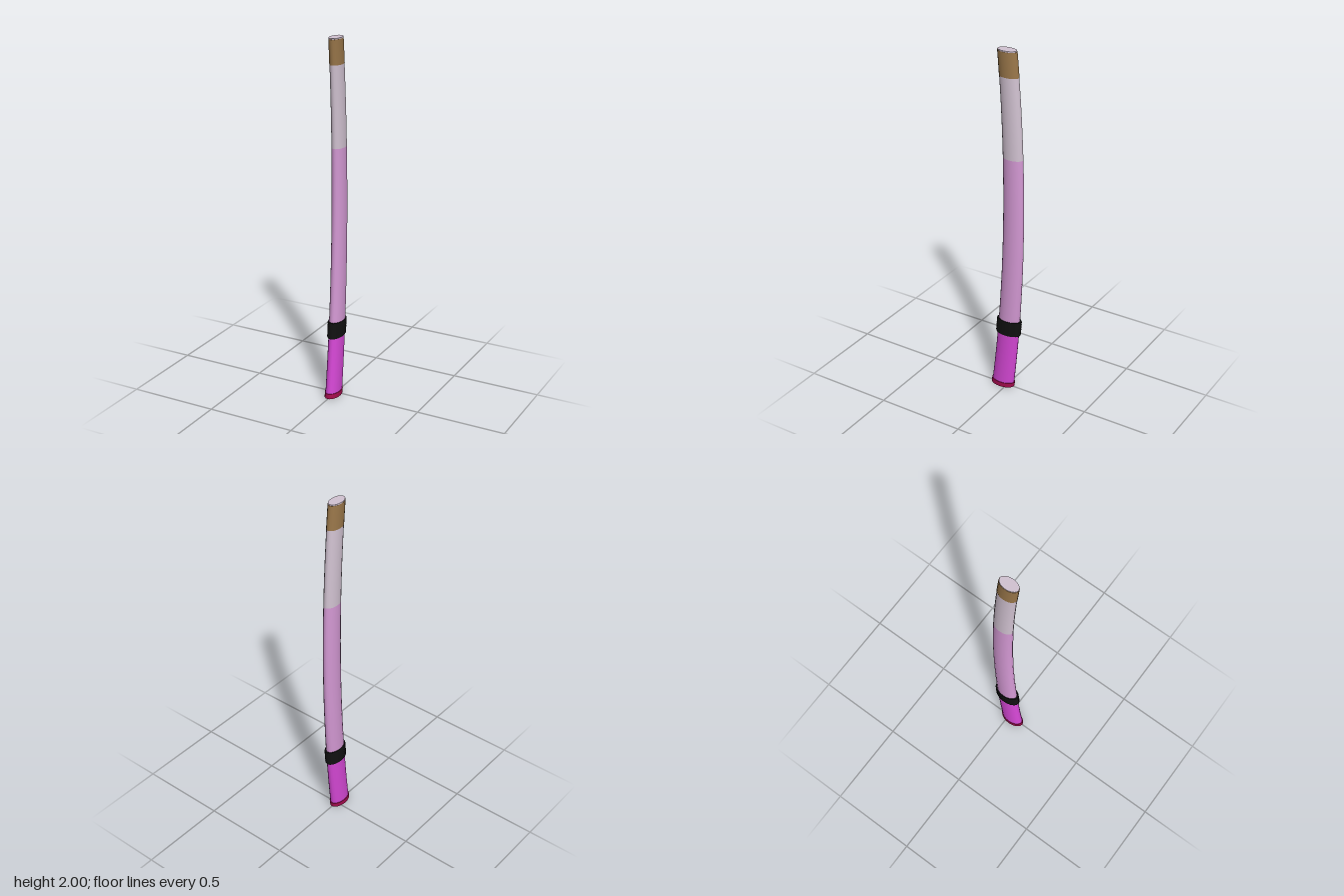
import * as THREE from 'three';

const paint = (name, color) => {
  const m = new THREE.MeshStandardMaterial({ color });
  m.name = name;
  return m;
};

// Curved spine and gently tapering oval section of the scabbard
const spineZ = (y) => -0.039 + 0.053 * (y - 1.13) ** 2;
const halfWidth = (y) => 0.0385 - 0.0035 * y;
const halfDepth = (y) => 0.0675 - 0.006 * y;

// Oval sleeve between two heights, bent along the spine;
// grow(t) gives extra thickness (x, z) at fraction t of its height
function sleeve(name, y0, y1, rows, material, grow = () => [0, 0]) {
  const g = new THREE.CylinderGeometry(1, 1, 1, 20, rows);
  const p = g.attributes.position;
  const n = g.attributes.normal;
  for (let i = 0; i < p.count; i++) {
    const t = p.getY(i) + 0.5;
    const y = y0 + (y1 - y0) * t;
    const [gx, gz] = grow(t);
    const w = halfWidth(y) + gx;
    const d = halfDepth(y) + gz;
    if (Math.abs(n.getY(i)) < 0.5) {
      const slope = 0.106 * (y - 1.13);
      const v = new THREE.Vector3(n.getX(i) / w, -slope * n.getZ(i) / d, n.getZ(i) / d).normalize();
      n.setXYZ(i, v.x, v.y, v.z);
    }
    p.setXYZ(i, p.getX(i) * w, y, p.getZ(i) * d + spineZ(y));
  }
  const mesh = new THREE.Mesh(g, material);
  mesh.name = name;
  return mesh;
}

export function createModel() {
  const magenta = paint('magenta lacquer', 0xd648d6);
  const pink = paint('pink lacquer', 0xd499d4);
  const pale = paint('pale lacquer', 0xd2c3d2);
  const tan = paint('tan horn', 0x9a774a);
  const crimson = paint('crimson rim', 0xa50d4e);
  const black = paint('black cord', 0x111111);

  const model = new THREE.Group();
  model.name = 'scabbard';

  // Lacquered body in colour bands
  model.add(
    sleeve('lowerBody', 0.001, 0.39, 5, magenta),
    sleeve('middleBody', 0.39, 1.415, 12, pink),
    sleeve('upperBody', 1.415, 1.86, 6, pale),
    sleeve('tipBand', 1.86, 1.994, 2, tan, () => [0.001, 0.001]),
    sleeve('tipCap', 1.994, 2, 1, pale, () => [0, -0.001]),
  );

  // Mouth rim, with the body end showing inside it
  model.add(
    sleeve('mouthRim', 0.002, 0.03, 1, crimson, () => [0.003, 0.004]),
    sleeve('mouthOpening', 0, 0.002, 1, magenta, () => [-0.003, -0.004]),
  );

  // Cord wound round the body
  const cord = new THREE.Group();
  cord.name = 'cordWrap';
  const turns = 6;
  const step = 0.09 / turns;
  for (let i = 0; i < turns; i++) {
    const y = 0.35 + i * step;
    cord.add(sleeve('cordTurn', y, y + step, 4, black, (t) => {
      const bulge = Math.sin(Math.PI * t);
      return [0.003 + 0.0025 * bulge, 0.009 + 0.003 * bulge];
    }));
  }
  model.add(cord);
  return model;
}
